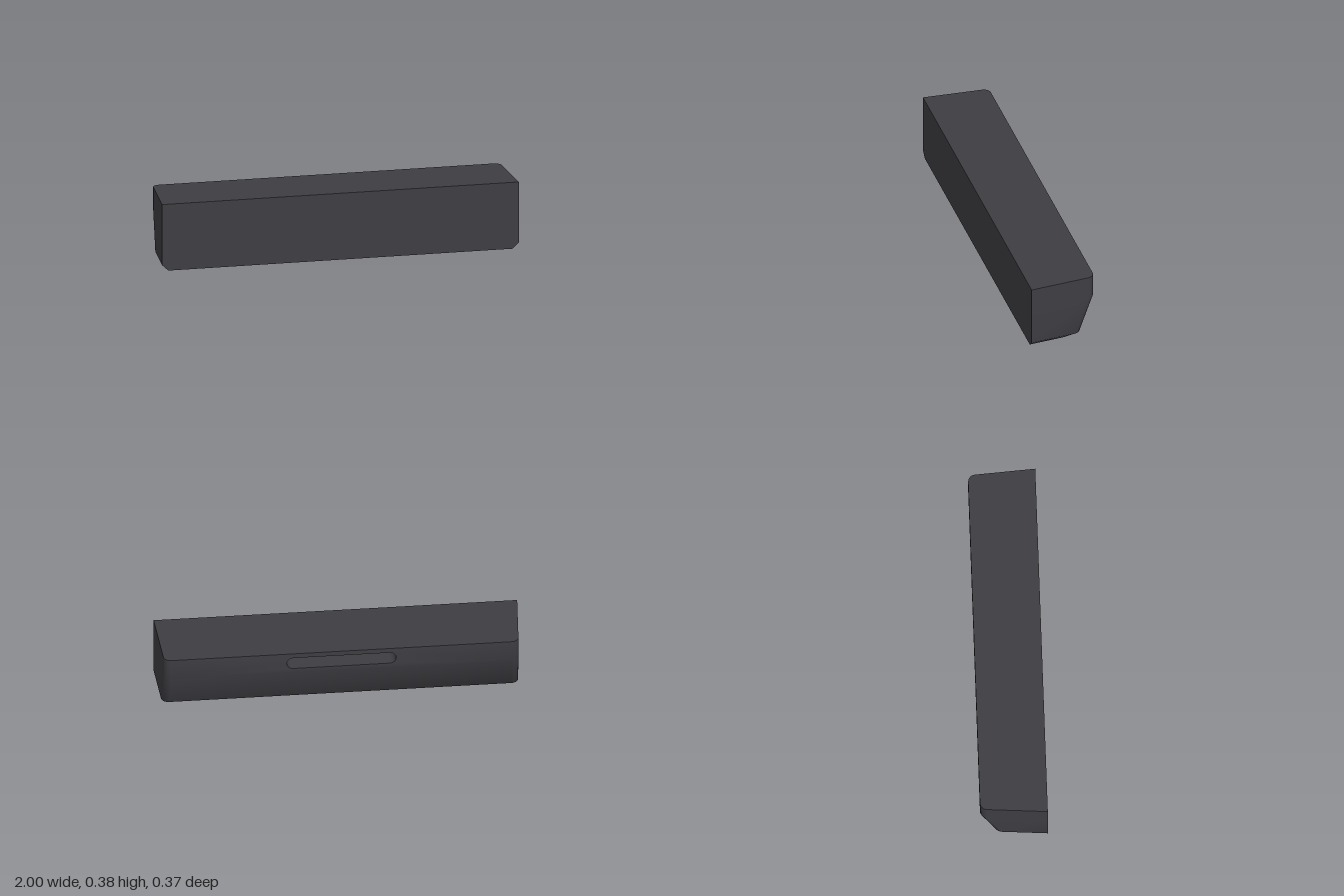
import * as THREE from 'three';

const FRONT = 0.185, BACK = -0.185, R = 0.04, STEPS = 6;
// Horizontal sections from bottom to top: height, end inset, back depth
const SECTIONS = [
  { y: 0, inset: 0.035, back: -0.05 },
  { y: 0.033, inset: 0, back: -0.105 },
  { y: 0.25, inset: 0, back: BACK },
  { y: 0.38, inset: 0, back: BACK },
];
const TOP = SECTIONS[3].y, LEDGE = SECTIONS[2].y;

// Open outline [x, z]: front +x corner, round the back, to the front -x corner
function outline({ inset, back }) {
  const cz = back + R;
  const cx = 1 - inset - 0.07 * (FRONT - cz) - R;
  const half = [[1 - inset, FRONT]];
  for (let i = 0; i <= STEPS; i++) {
    const a = (i / STEPS) * Math.PI / 2;
    half.push([cx + R * Math.cos(a), cz - R * Math.sin(a)]);
  }
  return [...half, ...half.slice().reverse().map(([x, z]) => [-x, z])];
}

function indexed(positions, index) {
  const g = new THREE.BufferGeometry();
  g.setAttribute('position', new THREE.Float32BufferAttribute(positions, 3));
  g.setIndex(index);
  g.computeVertexNormals();
  return g;
}

// Ends, back and underside as one smooth skin, leaving out the upper back panel
function shellGeometry(rings) {
  const n = rings[0].length, mid = STEPS + 1;
  const pos = rings.flatMap((ring, r) => ring.flatMap(([x, z]) => [x, SECTIONS[r].y, z]));
  const index = [], panel = [];
  for (let r = 0; r < rings.length - 1; r++) {
    for (let j = 0; j < n - 1; j++) {
      const a = r * n + j, b = a + 1, c = b + n, d = a + n;
      (r === 2 && j === mid ? panel : index).push(a, b, c, a, c, d);
    }
  }
  for (let j = 1; j < n - 1; j++) index.push(0, j + 1, j);
  // The panel counts for the normals, then its faces are dropped
  const g = indexed(pos, [...index, ...panel]);
  g.setIndex(index);
  return g;
}

const toShape = (pts) => new THREE.Shape(pts.map(([x, y]) => new THREE.Vector2(x, y)));

export function createModel() {
  const group = new THREE.Group();
  const plastic = new THREE.MeshStandardMaterial({ color: 0x3e3d42 });
  plastic.name = 'charcoal';
  const add = (name, geometry) => {
    const mesh = new THREE.Mesh(geometry, plastic);
    mesh.name = name;
    group.add(mesh);
  };

  const rings = SECTIONS.map(outline);
  add('shell', shellGeometry(rings));

  // Flat top and front
  const top = new THREE.ShapeGeometry(toShape(rings[3].map(([x, z]) => [x, -z])));
  add('top', top.rotateX(-Math.PI / 2).translate(0, TOP, 0));
  const side = SECTIONS.map((s) => [1 - s.inset, s.y]);
  const face = [...side, ...side.slice().reverse().map(([x, y]) => [-x, y])];
  add('front', new THREE.ShapeGeometry(toShape(face)).translate(0, 0, FRONT));

  // Rounded slot outline, counter-clockwise
  const slot = [], slotY = 0.315, slotR = 0.036, slotX = 0.265, depth = 0.1;
  for (let k = 0; k < 2; k++) {
    for (let i = 0; i <= 10; i++) {
      const a = -Math.PI / 2 + k * Math.PI + (i / 10) * Math.PI;
      slot.push([(k ? -slotX : slotX) + slotR * Math.cos(a), slotY + slotR * Math.sin(a)]);
    }
  }

  // Upper back panel with the slot cut out
  const w = rings[3][STEPS + 1][0];
  const panelShape = toShape([[-w, LEDGE], [w, LEDGE], [w, TOP], [-w, TOP]]);
  panelShape.holes.push(toShape(slot));
  const panel = new THREE.ShapeGeometry(panelShape).rotateY(Math.PI).translate(0, 0, BACK);
  const p = panel.attributes.position;
  for (let i = 0; i < p.count; i++) {
    // Blend softly into the slope below
    if (p.getY(i) < LEDGE + 0.001) panel.attributes.normal.setXYZ(i, 0, -0.23, -0.973);
  }
  add('backPanel', panel);

  // Slot walls and floor
  const m = slot.length, wall = [];
  const pos = [BACK, BACK + depth].flatMap((z) => slot.flatMap(([x, y]) => [x, y, z]));
  for (let j = 0; j < m; j++) {
    const b = (j + 1) % m;
    wall.push(j, b + m, b, j, j + m, b + m);
  }
  add('slotWall', indexed(pos, wall));
  add('slotFloor', new THREE.ShapeGeometry(toShape(slot)).rotateY(Math.PI).translate(0, 0, BACK + depth));

  return group;
}
